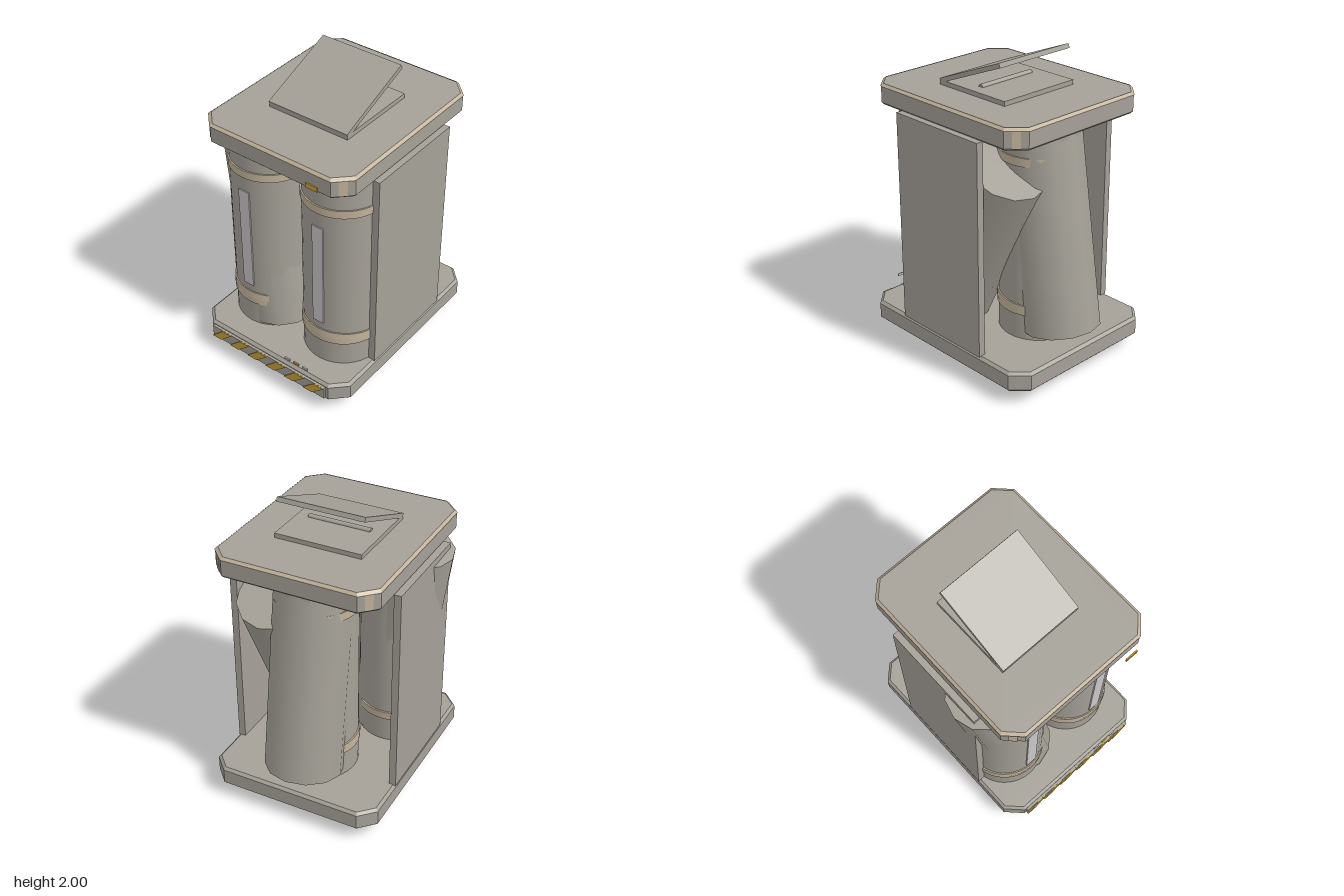
import * as THREE from 'three';

const mat = (name, color, side = THREE.FrontSide) => {
  const m = new THREE.MeshStandardMaterial({ color, side });
  m.name = name;
  return m;
};

export function createModel() {
  const grey = mat('warm grey', 0xa5a198);
  const tan = mat('tan trim', 0xc2b39b);
  const pale = mat('pale panel', 0xc9c6c6);
  const yellow = mat('warning yellow', 0xc9a13a);
  const blue = mat('blue glass', 0x3f88d0);
  const tanOpen = tan.clone();
  tanOpen.side = THREE.DoubleSide;

  const root = new THREE.Group();
  const add = (name, geometry, material, x = 0, y = 0, z = 0) => {
    const mesh = new THREE.Mesh(geometry, material);
    mesh.name = name;
    mesh.position.set(x, y, z);
    root.add(mesh);
    return mesh;
  };
  const box = (name, material, x0, x1, y0, y1, z0, z1) =>
    add(name, new THREE.BoxGeometry(x1 - x0, y1 - y0, z1 - z0), material,
      (x0 + x1) / 2, (y0 + y1) / 2, (z0 + z1) / 2);

  // Octagonal outline: a rectangle with its corners cut
  const octagon = (w, d, c) => {
    const a = w / 2, b = d / 2;
    return [[a - c, -b], [a, -b + c], [a, b - c], [a - c, b],
      [-a + c, b], [-a, b - c], [-a, -b + c], [-a + c, -b]].map(p => new THREE.Vector2(...p));
  };
  const slab = (name, w, d, h, c, bevel, x, y, z) => {
    const g = new THREE.ExtrudeGeometry(new THREE.Shape(octagon(w, d, c)), {
      depth: h - 2 * bevel, bevelSize: bevel, bevelOffset: -bevel,
      bevelThickness: bevel, bevelSegments: 1,
    });
    g.rotateX(-Math.PI / 2).translate(0, bevel, 0);
    return add(name, g, grey, x, y, z);
  };

  // Base and lid
  slab('base', 1.16, 1.424, 0.135, 0.1, 0.018, 0.03, 0.09, 0.008);
  const lidW = 1.084, lidD = 1.28, lidX = 0.032, lidZ = 0.006;
  slab('lid', lidW, lidD, 0.135, 0.1, 0.015, lidX, 1.62, lidZ);

  // Tan trim along the lid's upper bevel
  const low = octagon(lidW + 0.006, lidD + 0.006, 0.1);
  const high = octagon(lidW - 0.026, lidD - 0.026, 0.096);
  const pos = [];
  low.forEach((p, i) => {
    const j = (i + 1) % 8, q = low[j], r = high[j], s = high[i];
    const a = [p.x, 1.74, p.y], b = [q.x, 1.74, q.y], c = [r.x, 1.757, r.y], d = [s.x, 1.757, s.y];
    pos.push(...a, ...c, ...b, ...a, ...d, ...c);
  });
  const trim = new THREE.BufferGeometry();
  trim.setAttribute('position', new THREE.Float32BufferAttribute(pos, 3));
  trim.computeVertexNormals();
  add('lidTrim', trim, tanOpen, lidX, 0, lidZ);

  // Tan strips on the lid's cut corners
  for (const sx of [-1, 1]) for (const sz of [-1, 1]) {
    const strip = add('lidCornerStrip', new THREE.BoxGeometry(0.05, 0.105, 0.006), tan,
      lidX + sx * (lidW / 2 - 0.05), 1.688, lidZ + sz * (lidD / 2 - 0.05));
    strip.rotation.y = sx * sz * Math.PI / 4;
  }

  // Side panels
  box('leftPanel', grey, 0.56, 0.607, 0.22, 1.625, -0.35, 0.365);
  box('rightPanel', grey, -0.55, -0.503, 0.22, 1.625, -0.35, 0.365);

  // Upright tanks with straps and a window strip
  const tanks = [[-0.255, 0.3, pale], [0.31, 0.3, pale], [0.03, -0.288, blue]];
  for (const [x, z, glass] of tanks) {
    add('tank', new THREE.CylinderGeometry(0.256, 0.256, 1.4, 40), grey, x, 0.92, z);
    add('upperStrap', new THREE.CylinderGeometry(0.265, 0.265, 0.055, 40), tan, x, 1.422, z);
    add('lowerStrap', new THREE.CylinderGeometry(0.265, 0.265, 0.055, 40), tan, x, 0.425, z);
    const loose = add('looseStrap', new THREE.CylinderGeometry(0.266, 0.266, 0.05, 40), tan, x, 0.445, z);
    loose.rotation.x = -0.07;
    box('tankWindow', glass, x - 0.04, x + 0.04, 0.545, 1.29, z + 0.253, z + 0.262);
  }

  // Leaning tanks, each given by its bottom and top centre
  const leaning = (name, r, bottom, top) => {
    const a = new THREE.Vector3(...bottom), b = new THREE.Vector3(...top);
    const mesh = add(name, new THREE.CylinderGeometry(r, r, a.distanceTo(b), 12), grey);
    mesh.position.copy(a).add(b).multiplyScalar(0.5);
    mesh.quaternion.setFromUnitVectors(new THREE.Vector3(0, 1, 0), b.sub(a).normalize());
  };
  leaning('leaningTankRight', 0.24, [-0.165, 0.24, 0.317], [-0.373, 1.612, 0.26]);
  leaning('leaningTankLeft', 0.255, [0.315, 0.117, 0.319], [0.315, 1.362, -0.291]);
  leaning('leaningTankBack', 0.255, [0.03, 0.286, -0.488], [0.03, 1.66, -0.277]);

  // Hatch with its raised cover and hinge rod
  box('hatch', grey, -0.26, 0.32, 1.75, 1.785, -0.278, 0.288);
  const cover = add('hatchCover', new THREE.BoxGeometry(0.58, 0.03, 0.565), grey, 0.03, 1.885, 0.025);
  cover.rotation.x = Math.atan2(0.21, 0.52);
  const rod = add('hatchRod', new THREE.CylinderGeometry(0.018, 0.018, 0.42, 10), grey, 0.03, 1.785, 0.01);
  rod.rotation.z = Math.PI / 2;

  // Warning sign on the base front
  box('signPlate', grey, -0.435, 0.49, 0.117, 0.203, 0.715, 0.737);
  const stripe = new THREE.Shape([[0, 0], [0.075, 0], [0.165, 0.083], [0.09, 0.083]]
    .map(p => new THREE.Vector2(...p)));
  const stripeGeometry = new THREE.ExtrudeGeometry(stripe, { depth: 0.007, bevelEnabled: false });
  for (let i = 0; i < 6; i++)
    add('warningStripe', stripeGeometry, yellow, -0.437 + i * 0.152, 0.119, 0.737);

  // Indicator lights and lid label
  [pale, yellow, pale].forEach((m, i) => {
    const x = 0.2 + i * 0.07;
    box('indicator', m, x - 0.021, x + 0.021, 0.277, 0.293, 0.73, 0.739);
  });
  box('lidLabel', yellow, 0.332, 0.418, 1.668, 1.7, 0.682, 0.691);

  // Towing ring below the base
  const ring = add('towRing', new THREE.TorusGeometry(0.038, 0.01, 8, 20), pale, -0.105, 0.093, 0.575);
  ring.rotation.y = 0.4;

  return root;
}
